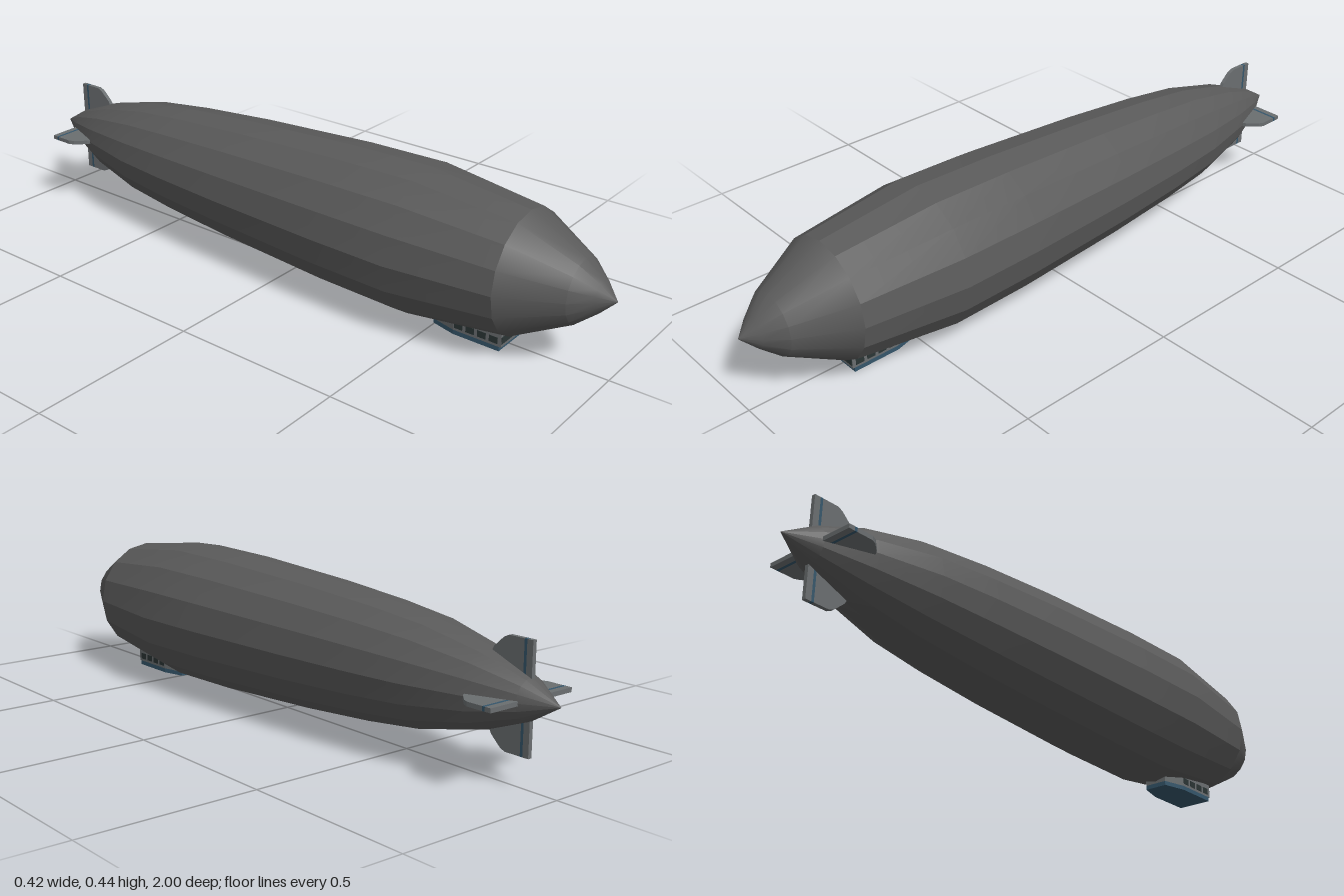
import * as THREE from 'three';
import { toCreasedNormals } from 'three/addons/utils/BufferGeometryUtils.js';

const AXIS_Y = 0.225;
const mat = (color) => new THREE.MeshStandardMaterial({ color });

function part(name, geometry, material, parent) {
  const mesh = new THREE.Mesh(geometry, material);
  mesh.name = name;
  parent.add(mesh);
  return mesh;
}

const polygon = (pts) => new THREE.Shape(pts.map(([x, y]) => new THREE.Vector2(x, y)));

// Slab with an outline in x and z, raised from y0 to y1
function slab(pts, y0, y1) {
  const geo = new THREE.ExtrudeGeometry(polygon(pts.map(([x, z]) => [x, -z])), { depth: y1 - y0, bevelEnabled: false });
  return geo.rotateX(-Math.PI / 2).translate(0, y0, 0);
}

export function createModel() {
  const group = new THREE.Group();
  group.name = 'airship';
  const hullMat = mat(0x5a5a5a);
  const finMat = mat(0x6a6e70);
  const blueMat = mat(0x35566b);
  const glassMat = mat(0x2b3535);

  // Sixteen-sided envelope: [radius, z] from tail to nose
  const profile = [
    [0, -1], [0.055, -0.91], [0.105, -0.78], [0.147, -0.6], [0.168, -0.42], [0.187, -0.18],
    [0.207, 0.19], [0.212, 0.44], [0.175, 0.745], [0.09, 0.905], [0.045, 0.957], [0, 1],
  ].map(([r, z]) => new THREE.Vector2(r, z));
  const hullGeo = new THREE.LatheGeometry(profile, 16).rotateX(Math.PI / 2);
  part('envelope', toCreasedNormals(hullGeo, 0.35), hullMat, group).position.y = AXIS_Y;

  // Four tail fins, each with a hinge strip and a control surface
  for (let i = 0; i < 4; i++) {
    const fin = new THREE.Group();
    fin.name = 'tailFin' + (i + 1);
    const t = 0.006;
    part('finPlate', slab([[0.02, -0.888], [0.145, -0.888], [0.145, -0.84], [0.138, -0.825],
      [0.11, -0.795], [0.09, -0.785], [0.02, -0.785]], -t, t), finMat, fin);
    part('hingeStrip', new THREE.BoxGeometry(0.125, 2 * t, 0.008), blueMat, fin).position.set(0.0825, 0, -0.892);
    part('controlSurface', new THREE.BoxGeometry(0.125, 2 * t, 0.018), finMat, fin).position.set(0.0825, 0, -0.905);
    fin.position.y = AXIS_Y;
    fin.rotation.z = i * Math.PI / 2;
    group.add(fin);
  }

  // Gondola under the nose, narrowing to the rear
  const gondola = new THREE.Group();
  gondola.name = 'gondola';
  group.add(gondola);
  const plan = (front) => [[-0.054, front], [0.054, front], [0.054, 0.57], [0.036, 0.497], [-0.036, 0.497], [-0.054, 0.57]];
  part('gondolaFloor', slab(plan(0.712), 0, 0.013), blueMat, gondola);
  part('gondolaCabin', slab(plan(0.718), 0.013, 0.054), finMat, gondola);
  part('frontWindow', new THREE.BoxGeometry(0.106, 0.02, 0.004), glassMat, gondola).position.set(0, 0.033, 0.718);
  for (const side of [-1, 1]) {
    for (let i = 0; i < 4; i++) {
      part('sideWindow', new THREE.BoxGeometry(0.003, 0.019, 0.026), glassMat, gondola)
        .position.set(side * 0.0535, 0.03, 0.694 - i * 0.036);
    }
  }
  return group;
}
